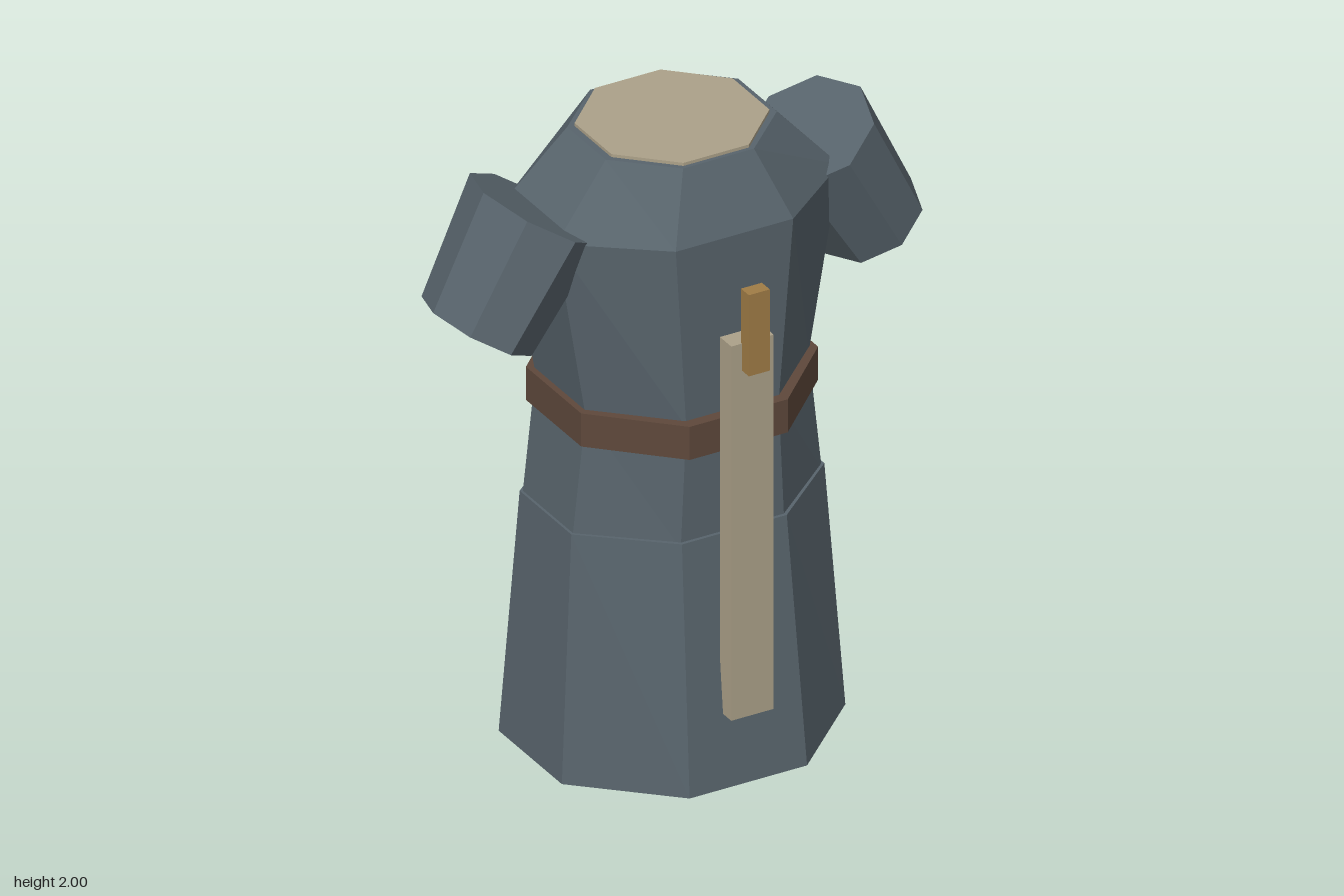
import * as THREE from 'three';

const CENTRE_Z = -0.03;

// Closed eight-sided loft; each ring is [y, halfWidth, halfDepth]
function octagonLoft(rings) {
  const t = Math.tan(Math.PI / 8);
  const corners = [[1, -t], [1, t], [t, 1], [-t, 1], [-1, t], [-1, -t], [-t, -1], [t, -1]];
  const points = rings.map(([y, w, d]) => corners.map(([x, z]) => [x * w, y, z * d]));
  const out = [];
  const tri = (a, b, c) => out.push(...a, ...b, ...c);
  const bottom = points[0];
  const top = points[points.length - 1];
  const bottomMid = [0, rings[0][0], 0];
  const topMid = [0, rings[rings.length - 1][0], 0];
  for (let i = 0; i < 8; i++) {
    const j = (i + 1) % 8;
    for (let k = 0; k + 1 < points.length; k++) {
      const lo = points[k];
      const hi = points[k + 1];
      tri(lo[i], hi[i], hi[j]);
      tri(lo[i], hi[j], lo[j]);
    }
    tri(bottomMid, bottom[i], bottom[j]);
    tri(topMid, top[j], top[i]);
  }
  const geometry = new THREE.BufferGeometry();
  geometry.setAttribute('position', new THREE.Float32BufferAttribute(out, 3));
  geometry.computeVertexNormals();
  return geometry;
}

function material(name, color) {
  const m = new THREE.MeshStandardMaterial({ color, flatShading: true });
  m.name = name;
  return m;
}

export function createModel() {
  const group = new THREE.Group();
  group.name = 'tunic';
  const slate = material('slate cloth', 0x58646c);
  const brown = material('brown leather', 0x5e483b);
  const beige = material('beige linen', 0xaca189);
  const gold = material('dull gold', 0xa07c46);

  const add = (name, geometry, mat, x, y, z) => {
    const mesh = new THREE.Mesh(geometry, mat);
    mesh.name = name;
    mesh.position.set(x, y, z);
    group.add(mesh);
    return mesh;
  };

  // Flared skirt, waisted torso and sloping shoulders
  add('skirt', octagonLoft([[0, 0.475, 0.443], [0.8, 0.424, 0.362]]), slate, 0, 0, CENTRE_Z);
  add('torso', octagonLoft([
    [0.78, 0.418, 0.351], [1.18, 0.374, 0.351], [1.78, 0.475, 0.363], [1.99, 0.287, 0.27],
  ]), slate, 0, 0, CENTRE_Z);

  // Neck lining and belt
  add('neckLining', octagonLoft([[1.97, 0.265, 0.257], [2, 0.265, 0.257]]), beige, 0, 0, CENTRE_Z);
  add('belt', octagonLoft([[1.09, 0.397, 0.387], [1.2, 0.397, 0.387]]), brown, 0, 0, CENTRE_Z);

  // Short tapered sleeves, mirrored
  for (const [name, side] of [['leftSleeve', 1], ['rightSleeve', -1]]) {
    const sleeve = add(name, new THREE.CylinderGeometry(0.198, 0.168, 0.39, 8), slate,
      side * 0.5575, 1.654, CENTRE_Z);
    sleeve.scale.z = 1.19;
    sleeve.rotation.z = side * Math.PI / 6;
  }

  // Long front panel with a small bar at its top
  add('frontPanel', new THREE.BoxGeometry(0.142, 1.245, 0.066), beige, 0, 0.8575, 0.404);
  add('frontBar', new THREE.BoxGeometry(0.07, 0.27, 0.046), gold, 0, 1.525, 0.454);

  return group;
}
